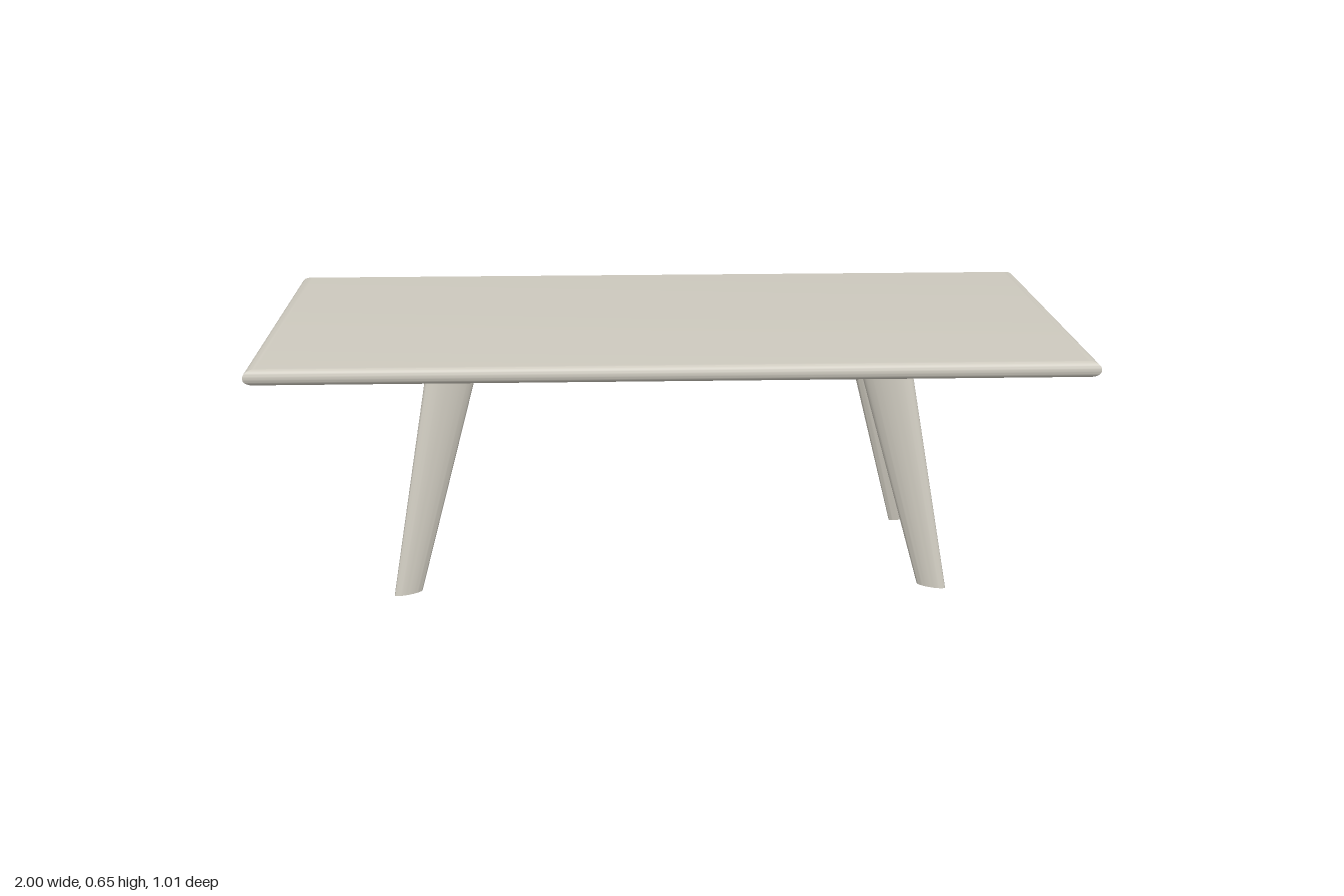
import * as THREE from 'three';
import { toCreasedNormals } from 'three/addons/utils/BufferGeometryUtils.js';

const TOP = 0.65, THICK = 0.04, LEG_HEIGHT = 0.615;
const lerp = THREE.MathUtils.lerp;

// Thin slab with mitred corners and rounded rims, wider on the short ends
function tabletopGeometry() {
  const bevel = 0.018, halfX = 0.6, halfZ = 0.505;
  const w = halfX - bevel, d = halfZ - bevel;
  const shape = new THREE.Shape([
    new THREE.Vector2(-w, -d), new THREE.Vector2(w, -d),
    new THREE.Vector2(w, d), new THREE.Vector2(-w, d),
  ]);
  const geo = new THREE.ExtrudeGeometry(shape, {
    depth: THICK - 2 * bevel, bevelEnabled: true,
    bevelSize: bevel, bevelThickness: bevel, bevelSegments: 8,
  });
  geo.rotateX(-Math.PI / 2);
  geo.translate(0, TOP - THICK + bevel, 0);
  geo.scale(1 / halfX, 1, 1);
  return toCreasedNormals(geo, 0.5);
}

// Splayed, tapering leg with an oval section turned toward the table corner
function legGeometry(sx, sz) {
  const geo = new THREE.CylinderGeometry(1, 1, LEG_HEIGHT, 40);
  geo.translate(0, LEG_HEIGHT / 2, 0);
  const angle = sx * sz * Math.PI / 6;
  const c = Math.cos(angle), s = Math.sin(angle);
  const p = geo.attributes.position;
  for (let i = 0; i < p.count; i++) {
    const t = p.getY(i) / LEG_HEIGHT;
    const u = p.getX(i) * lerp(0.038, 0.075, t);
    const v = p.getZ(i) * lerp(0.014, 0.025, t);
    p.setX(i, sx * lerp(0.663, 0.53, t) + u * c - v * s);
    p.setZ(i, sz * lerp(0.26, 0.144, t) + u * s + v * c);
  }
  return toCreasedNormals(geo, 0.8);
}

export function createModel() {
  const group = new THREE.Group();
  group.name = 'coffeeTable';
  const material = new THREE.MeshStandardMaterial({ color: 0xcdc9be });
  material.name = 'warmGrey';

  const add = (name, geometry) => {
    const mesh = new THREE.Mesh(geometry, material);
    mesh.name = name;
    group.add(mesh);
  };

  add('tabletop', tabletopGeometry());
  for (const sx of [1, -1]) {
    for (const sz of [1, -1]) {
      add((sz > 0 ? 'front' : 'back') + (sx > 0 ? 'Left' : 'Right') + 'Leg', legGeometry(sx, sz));
    }
  }
  return group;
}
